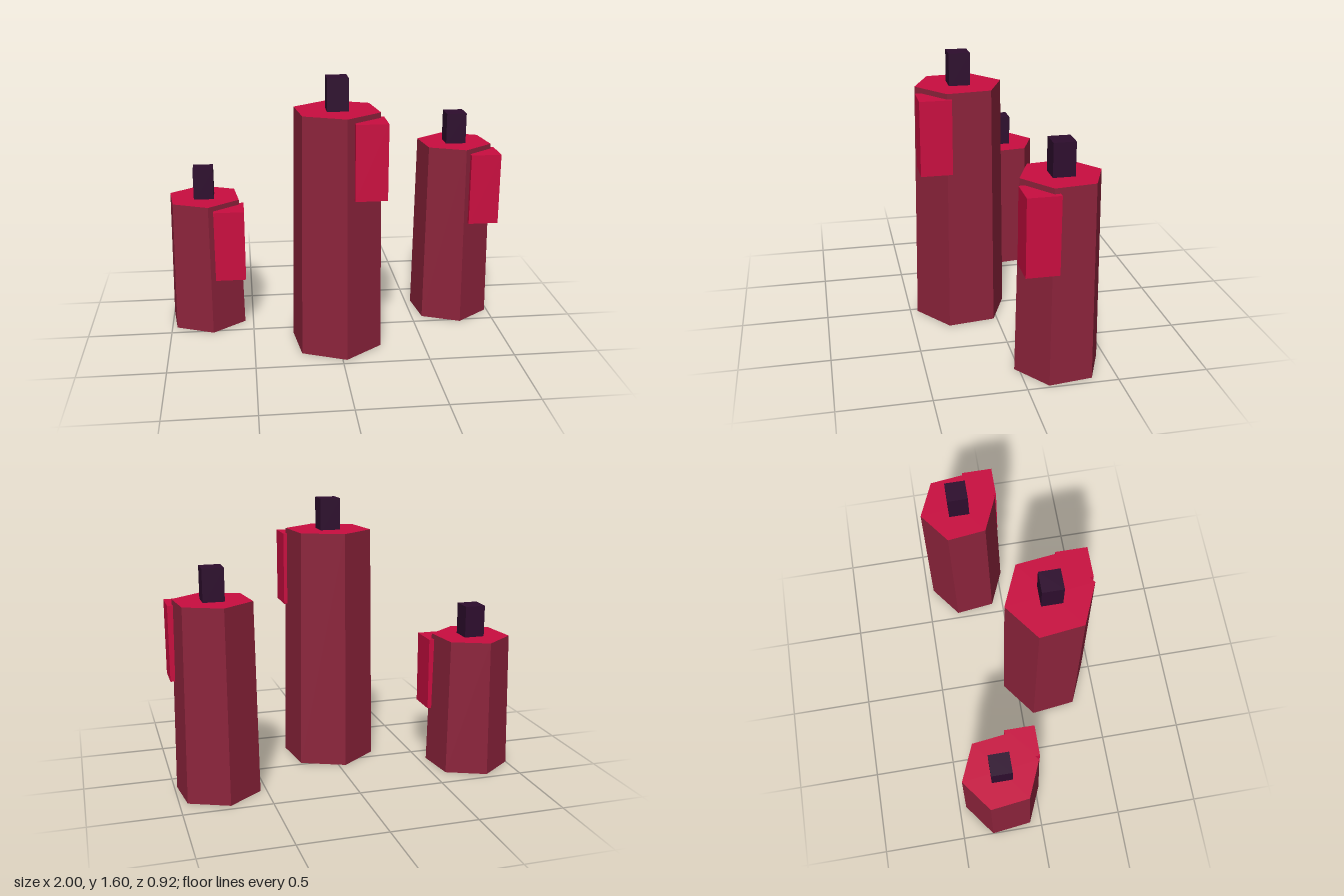
import * as THREE from 'three';

const wax = new THREE.MeshStandardMaterial({ name: 'dark red wax', color: 0x8c233b });
const melted = new THREE.MeshStandardMaterial({ name: 'bright red wax', color: 0xca0d40 });
const wickColour = new THREE.MeshStandardMaterial({ name: 'dark purple wick', color: 0x2e0d2e });

function addBox(parent, name, material, size, position) {
  const mesh = new THREE.Mesh(new THREE.BoxGeometry(...size), material);
  mesh.name = name;
  mesh.position.set(...position);
  parent.add(mesh);
}

// One tapered hexagonal candle with a melted top, a wick and a drip at its front left corner
function makeCandle(name, x, z, height, topRadius, baseRadius, dripOffset) {
  const candle = new THREE.Group();
  candle.name = name;
  candle.position.set(x, 0, z);

  // Flat-sided body: groups are side, top, bottom
  const geometry = new THREE.CylinderGeometry(topRadius, baseRadius, height, 6).toNonIndexed();
  geometry.computeVertexNormals();
  const body = new THREE.Mesh(geometry, [wax, melted, wax]);
  body.name = 'candleBody';
  body.position.y = height / 2;
  body.rotation.y = 0.12;
  candle.add(body);

  addBox(candle, 'wick', wickColour, [0.12, 0.2, 0.12], [0, height + 0.085, 0]);
  addBox(candle, 'waxDrip', melted, [0.18, 0.43, 0.18], [dripOffset, height - 0.245, dripOffset]);
  return candle;
}

export function createModel() {
  const model = new THREE.Group();
  model.name = 'candleCluster';
  model.add(
    makeCandle('middleCandle', -0.008, 0.185, 1.41, 0.254, 0.274, 0.165),
    makeCandle('rightCandle', -0.775, -0.217, 0.8, 0.227, 0.244, 0.147),
    makeCandle('leftCandle', 0.76, -0.217, 1.105, 0.227, 0.244, 0.147),
  );
  return model;
}
